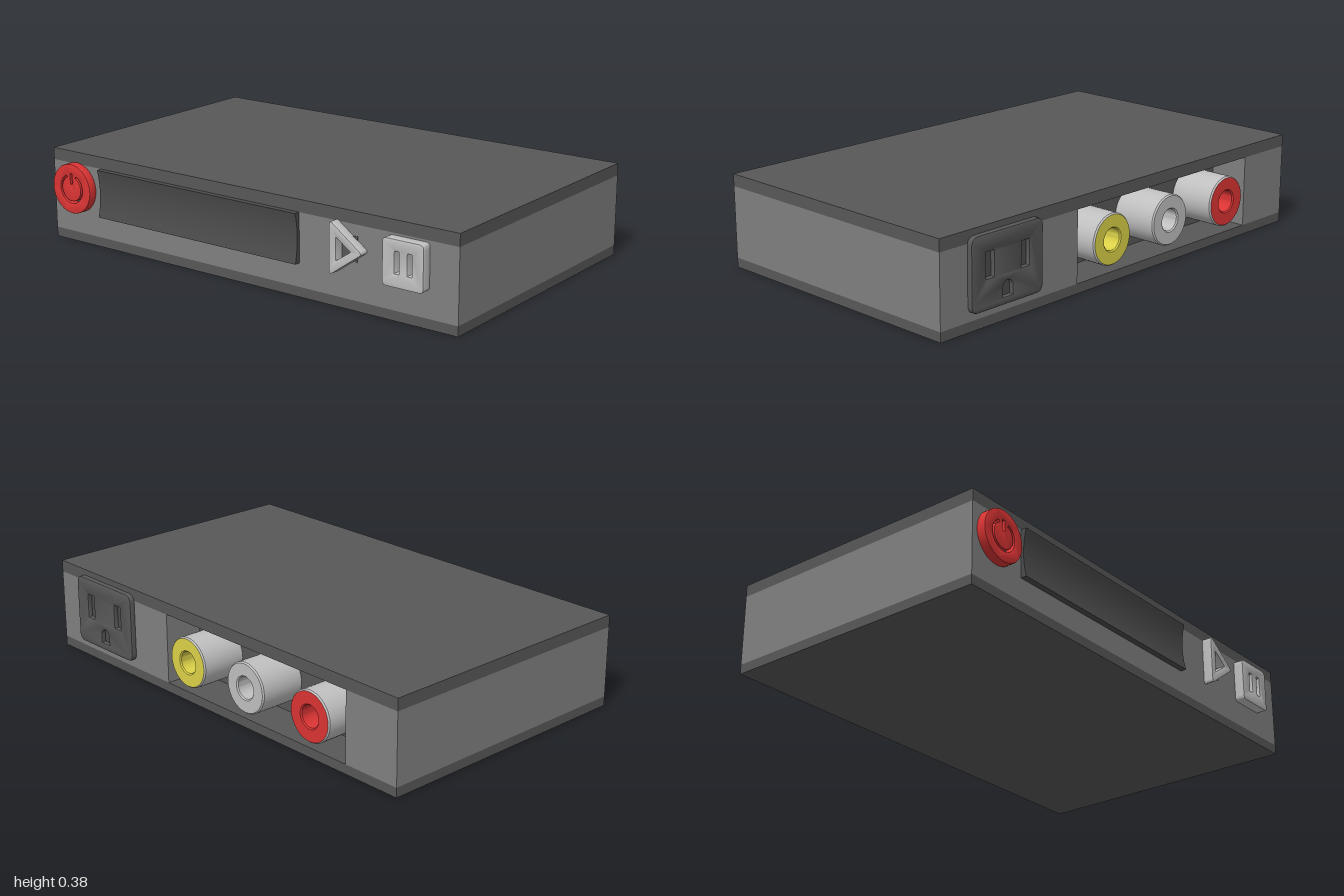
import * as THREE from 'three';
import { toCreasedNormals } from 'three/addons/utils/BufferGeometryUtils.js';

const material = (name, color) => {
  const m = new THREE.MeshStandardMaterial({ color });
  m.name = name;
  return m;
};

// Rounded rectangle outline centred on x, y
function roundedRect(Kind, x, y, w, h, r) {
  const s = new Kind(), l = x - w / 2, b = y - h / 2;
  s.moveTo(l + r, b);
  s.lineTo(l + w - r, b).quadraticCurveTo(l + w, b, l + w, b + r);
  s.lineTo(l + w, b + h - r).quadraticCurveTo(l + w, b + h, l + w - r, b + h);
  s.lineTo(l + r, b + h).quadraticCurveTo(l, b + h, l, b + h - r);
  s.lineTo(l, b + r).quadraticCurveTo(l, b, l + r, b);
  return s;
}

// Triangle pointing to +x, with rounded corners
function roundedTriangle(Kind, x0, x1, y, halfHeight, t) {
  const p = [[x0, y - halfHeight], [x1, y], [x0, y + halfHeight]].map(a => new THREE.Vector2(...a));
  const s = new Kind();
  p.forEach((c, i) => {
    const a = c.clone().lerp(p[(i + 2) % 3], t), b = c.clone().lerp(p[(i + 1) % 3], t);
    if (i === 0) s.moveTo(a.x, a.y); else s.lineTo(a.x, a.y);
    s.quadraticCurveTo(c.x, c.y, b.x, b.y);
  });
  s.closePath();
  return s;
}

export function createModel() {
  const model = new THREE.Group();
  model.name = 'mediaBox';
  const dark = material('dark grey', 0x585858);
  const grey = material('mid grey', 0x808080);
  const screen = material('screen grey', 0x4c4c4c);
  const light = material('light grey', 0xc0c0c0);
  const red = material('red', 0xdc3434);
  const yellow = material('yellow', 0xdcd248);

  const add = (parent, name, geometry, mat) => {
    const mesh = new THREE.Mesh(geometry, mat);
    mesh.name = name;
    parent.add(mesh);
    return mesh;
  };
  // Box given by its limits
  const box = (parent, name, mat, x0, x1, y0, y1, z0, z1) => {
    const g = new THREE.BoxGeometry(x1 - x0, y1 - y0, z1 - z0);
    g.translate((x0 + x1) / 2, (y0 + y1) / 2, (z0 + z1) / 2);
    return add(parent, name, g, mat);
  };
  // Bevelled plate reaching from z0 to z1
  const plate = (parent, name, mat, shape, z0, z1, bevel) => {
    const g = new THREE.ExtrudeGeometry(shape, {
      depth: z1 - z0 - 2 * bevel, bevelThickness: bevel, bevelSize: bevel,
      bevelOffset: -bevel, bevelSegments: 2, curveSegments: 20,
    });
    g.translate(0, 0, z0 + bevel);
    return add(parent, name, toCreasedNormals(g, 0.5), mat);
  };

  // Case: two dark shells around a grey band, with a bay open to the back
  const front = 0.58, back = -0.595, bayFloor = -0.425, low = 0.04, high = 0.335;
  box(model, 'bottomShell', dark, -1, 1, 0, low, back, front);
  box(model, 'topShell', dark, -1, 1, high, 0.385, back, front);
  box(model, 'caseBand', grey, -1, 1, low, high, bayFloor, front);
  box(model, 'bayPillar', grey, -1, -0.74, low, high, back, bayFloor);
  box(model, 'bayPillar', grey, 0.29, 1, low, high, back, bayFloor);
  box(model, 'bayBackWall', dark, -0.74, 0.29, low, high, bayFloor - 0.005, bayFloor);

  // Display with a gently hollow face, extruded along x
  const profile = new THREE.Shape();
  profile.moveTo(-0.57, 0.135);
  profile.lineTo(-0.605, 0.135);
  profile.quadraticCurveTo(-0.58, 0.235, -0.605, 0.335);
  profile.lineTo(-0.57, 0.335);
  profile.closePath();
  const display = new THREE.ExtrudeGeometry(profile, { depth: 1.02, bevelEnabled: false, curveSegments: 16 });
  display.rotateY(Math.PI / 2).translate(-0.73, 0, 0);
  add(model, 'display', toCreasedNormals(display, 0.5), screen);

  // Power button with a cut-out ring and bar
  const power = new THREE.Shape();
  power.absarc(0, 0, 0.105, 0, Math.PI * 2);
  const ring = new THREE.Path(), gap = 0.45, quarter = Math.PI / 2;
  ring.absarc(0, 0, 0.061, quarter + gap, quarter - gap + Math.PI * 2, false);
  ring.absarc(0, 0, 0.053, quarter - gap + Math.PI * 2, quarter + gap, true);
  ring.closePath();
  power.holes.push(ring, roundedRect(THREE.Path, 0, 0.042, 0.01, 0.045, 0.001));
  const button = new THREE.Group();
  button.name = 'powerButton';
  button.position.set(-0.87, 0.235, 0);
  model.add(button);
  plate(button, 'powerCap', red, power, 0.57, 0.616, 0.003);
  const symbolFloor = new THREE.CircleGeometry(0.085, 32).translate(0, 0, 0.583);
  add(button, 'powerSymbolFloor', symbolFloor, dark);

  // Play button
  const play = roundedTriangle(THREE.Shape, 0.46, 0.61, 0.24, 0.107, 0.1);
  play.holes.push(roundedTriangle(THREE.Path, 0.49, 0.557, 0.24, 0.046, 0.05));
  plate(model, 'playButton', light, play, 0.57, 0.622, 0.002);
  box(model, 'playSymbolFloor', dark, 0.485, 0.56, 0.19, 0.29, 0.578, 0.583);

  // Pause button
  const pause = roundedRect(THREE.Shape, 0.787, 0.236, 0.178, 0.182, 0.018);
  for (const x of [0.761, 0.817]) pause.holes.push(roundedRect(THREE.Path, x, 0.24, 0.02, 0.085, 0.002));
  plate(model, 'pauseButton', light, pause, 0.57, 0.622, 0.002);
  box(model, 'pauseSymbolFloor', dark, 0.74, 0.84, 0.19, 0.29, 0.578, 0.583);

  // Power outlet on the back, modelled facing +z and turned round
  const outlet = new THREE.Group();
  outlet.name = 'powerOutlet';
  outlet.position.set(0.683, 0, 0);
  outlet.rotation.y = Math.PI;
  model.add(outlet);
  const cover = roundedRect(THREE.Shape, 0, 0.215, 0.365, 0.29, 0.035);
  for (const x of [-0.09, 0.09]) cover.holes.push(roundedRect(THREE.Path, x, 0.24, 0.04, 0.1, 0.002));
  const ground = new THREE.Path();
  ground.moveTo(-0.025, 0.1);
  ground.lineTo(0.025, 0.1);
  ground.lineTo(0.025, 0.135);
  ground.absarc(0, 0.135, 0.025, 0, Math.PI, false);
  ground.closePath();
  cover.holes.push(ground);
  plate(outlet, 'outletCover', dark, cover, 0.585, 0.617, 0.006);
  box(outlet, 'outletSlotFloor', screen, -0.14, 0.14, 0.09, 0.31, 0.594, 0.598);

  // Sockets in the bay, each with a coloured end face and a hollow core
  const lathe = points => toCreasedNormals(
    new THREE.LatheGeometry(points.map(p => new THREE.Vector2(...p)), 40).rotateX(-Math.PI / 2), 0.5);
  for (const [name, x, mat] of [['yellow', 0.125, yellow], ['white', -0.22, light], ['red', -0.58, red]]) {
    const jack = new THREE.Group();
    jack.name = name + 'Socket';
    jack.position.set(x, 0.185, bayFloor);
    model.add(jack);
    add(jack, 'socketBarrel', lathe([[0.105, 0], [0.105, 0.194], [0.1, 0.2]]), light);
    add(jack, 'socketFace', lathe([[0.1, 0.2], [0.05, 0.2], [0.045, 0.195], [0.045, 0.12]]), mat);
    add(jack, 'socketCore', lathe([[0.045, 0.12], [0, 0.12]]), grey);
  }
  return model;
}
